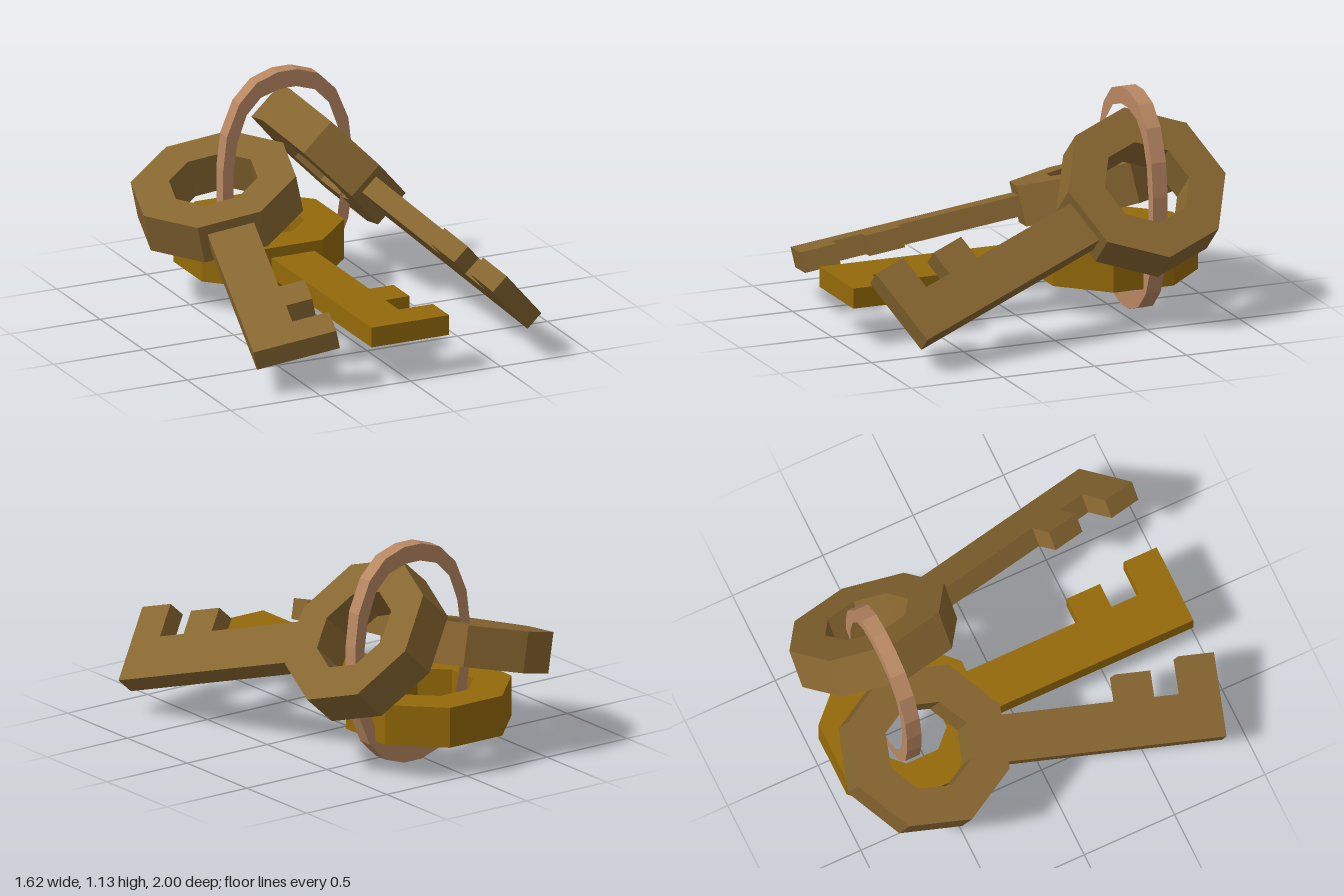
import * as THREE from 'three';

const material = (name, color) => {
  const m = new THREE.MeshStandardMaterial({ color });
  m.name = name;
  return m;
};

const vectors = (points) => points.map(([x, y]) => new THREE.Vector2(x, y));

// Octagon with its flat sides square to the axes
function octagon(apothem) {
  const r = apothem / Math.cos(Math.PI / 8);
  return Array.from({ length: 8 }, (_, i) => {
    const a = Math.PI / 8 + (i * Math.PI) / 4;
    return [r * Math.cos(a), r * Math.sin(a)];
  });
}

// Solid plate of the given outline, centred on its thickness
function plate(outline, depth, hole) {
  const shape = new THREE.Shape(vectors(outline));
  if (hole) shape.holes.push(new THREE.Path(vectors(hole)));
  const g = new THREE.ExtrudeGeometry(shape, { depth, bevelEnabled: false });
  return g.translate(0, 0, -depth / 2);
}

// Key lying flat: bow centred on the origin, shank along +z, teeth towards +x
function makeKey(name, mat, position, side, along) {
  const key = new THREE.Group();
  key.name = name;

  const bow = new THREE.Mesh(plate(octagon(0.395), 0.21, octagon(0.212)).rotateX(Math.PI / 2), mat);
  bow.name = 'bow';

  const blade = [
    [-0.12, 0.385], [0.12, 0.385], [0.12, 1.02], [0.255, 1.02], [0.255, 1.205],
    [0.12, 1.205], [0.12, 1.36], [0.31, 1.36], [0.31, 1.545], [-0.12, 1.545],
  ];
  const shank = new THREE.Mesh(plate(blade, 0.105).rotateX(Math.PI / 2), mat);
  shank.name = 'toothedShank';
  key.add(bow, shank);

  // Orient by the shank direction and the tooth direction
  const z = new THREE.Vector3(...along).normalize();
  const y = z.clone().cross(new THREE.Vector3(...side)).normalize();
  const x = y.clone().cross(z);
  key.quaternion.setFromRotationMatrix(new THREE.Matrix4().makeBasis(x, y, z));
  key.position.set(...position);
  return key;
}

// Mirrors one quarter (from top to side) into a closed loop
function mirrorLoop(quarter) {
  const back = [...quarter].reverse();
  return [
    ...quarter,
    ...back.map(([x, y]) => [x, -y]),
    ...quarter.map(([x, y]) => [-x, -y]),
    ...back.map(([x, y]) => [-x, y]),
  ];
}

export function createModel() {
  const gold = material('gold', 0x936909);
  const bronze = material('bronze', 0x876630);
  const copper = material('copper', 0xb88762);

  const model = new THREE.Group();
  model.name = 'keyRing';

  // Keys
  model.add(
    makeKey('middleKey', gold, [-0.087, 0.257, -0.565], [1, 0, 0], [0, 0, 1]),
    makeKey('rightKey', bronze, [-0.32, 0.526, -0.565], [0.93, 0.21, 0.28], [-0.238, -0.202, 0.95]),
    makeKey('leftKey', bronze, [0.295, 0.655, -0.555], [-0.628, 0.674, 0.39], [0.259, -0.278, 0.925]),
  );

  // Tall oval ring through the bows
  const outer = [[0.053, 0.567], [0.17, 0.528], [0.268, 0.43], [0.337, 0.265], [0.358, 0.09]];
  const inner = [[0.047, 0.478], [0.15, 0.445], [0.228, 0.365], [0.278, 0.23], [0.3, 0.08]];
  const ring = new THREE.Mesh(plate(mirrorLoop(outer), 0.08, mirrorLoop(inner)), copper);
  ring.name = 'ring';
  ring.position.set(0.072, 0.567, -0.603);
  model.add(ring);

  return model;
}
